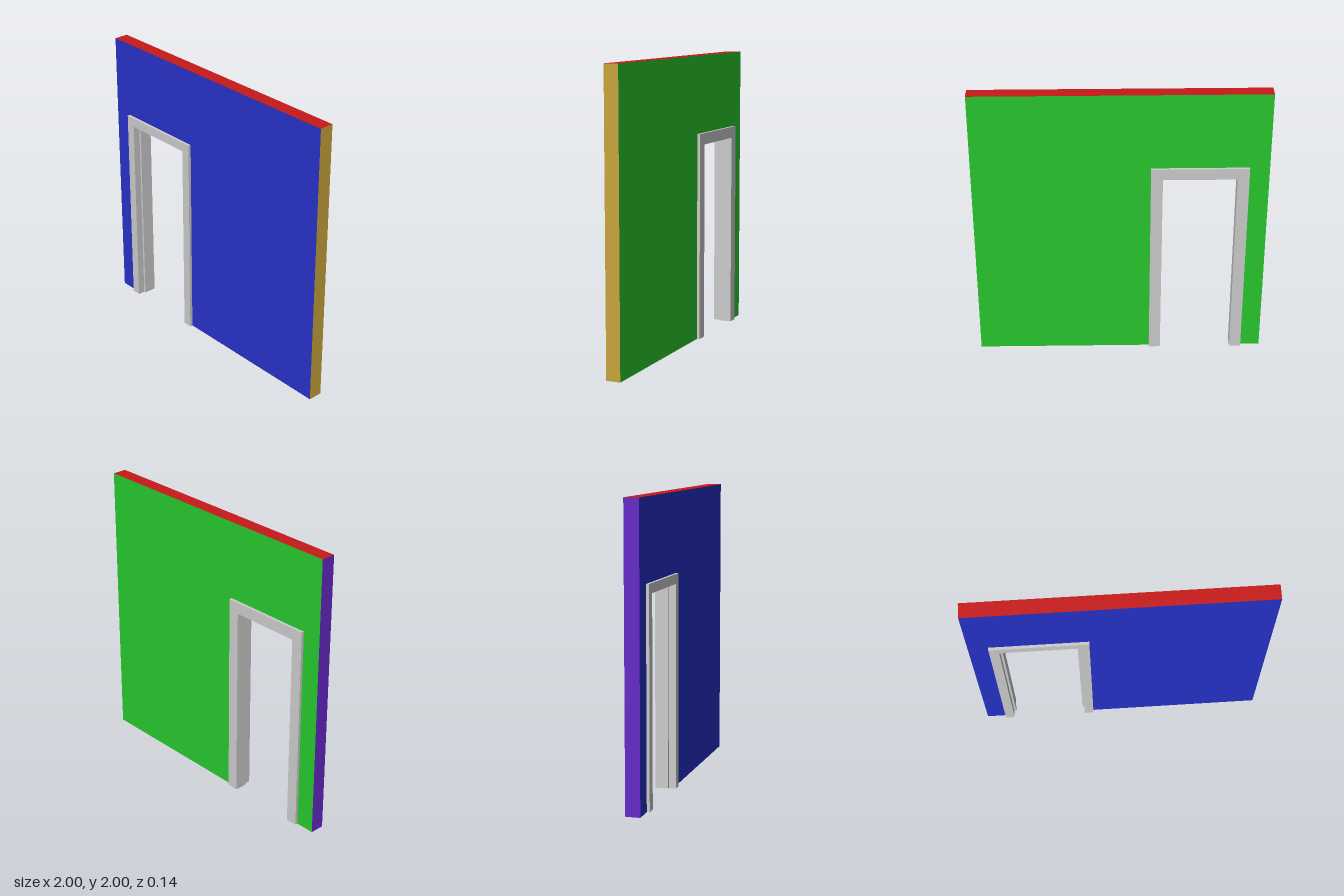
import * as THREE from 'three';

const LEFT = -0.785, RIGHT = -0.285, TOP = 1.38; // clear doorway
const HALF = 0.05; // half the wall thickness

const paint = (color) => new THREE.MeshStandardMaterial({ color, side: THREE.DoubleSide, flatShading: true });

// Doorway outline grown outwards by d: up one jamb, across, down the other
const doorway = (d) => [[LEFT - d, 0], [LEFT - d, TOP + d], [RIGHT + d, TOP + d], [RIGHT + d, 0]];

function mesh(name, geometry, material) {
  const m = new THREE.Mesh(geometry, material);
  m.name = name;
  return m;
}

// Flat strip spanning the wall thickness between two outline points
function edge(name, [x0, y0], [x1, y1], material) {
  const g = new THREE.BufferGeometry();
  g.setAttribute('position', new THREE.Float32BufferAttribute(
    [x0, y0, HALF, x0, y0, -HALF, x1, y1, -HALF, x1, y1, HALF], 3));
  g.setIndex([0, 1, 2, 0, 2, 3]);
  const flat = g.toNonIndexed();
  flat.computeVertexNormals();
  return mesh(name, flat, material);
}

// Sweeps an open profile of [outward offset, z] points round the doorway
function trim(profile) {
  const pos = [];
  for (let i = 0; i < profile.length - 1; i++) {
    const [dA, zA] = profile[i], [dB, zB] = profile[i + 1];
    const a = doorway(dA), b = doorway(dB);
    for (let j = 0; j < 3; j++) {
      const p = [...a[j], zA], q = [...b[j], zB], r = [...b[j + 1], zB], s = [...a[j + 1], zA];
      pos.push(...p, ...q, ...r, ...p, ...r, ...s);
    }
  }
  const g = new THREE.BufferGeometry();
  g.setAttribute('position', new THREE.Float32BufferAttribute(pos, 3));
  g.computeVertexNormals();
  return g;
}

export function createModel() {
  const group = new THREE.Group();
  const blue = paint(0x2731c8), green = paint(0x28c82d), red = paint(0xc81919);
  const ochre = paint(0xc8a43c), purple = paint(0x6428c8), grey = paint(0xcccccc);

  // Wall outline with the rough opening hidden inside the frame
  const hole = doorway(0.04);
  const outline = [[-1, 0], ...hole, [1, 0], [1, 2], [-1, 2]];
  const shape = new THREE.Shape(outline.map(([x, y]) => new THREE.Vector2(x, y)));

  const wall = new THREE.Group();
  wall.name = 'wall';
  const front = mesh('wallFront', new THREE.ShapeGeometry(shape), blue);
  front.material.side = THREE.FrontSide;
  front.position.z = HALF;

  const mirrored = new THREE.Shape(outline.map(([x, y]) => new THREE.Vector2(-x, y)));
  const back = mesh('wallBack', new THREE.ShapeGeometry(mirrored), green);
  back.material.side = THREE.FrontSide;
  back.rotation.y = Math.PI;
  back.position.z = -HALF;
  wall.add(front, back);

  // Wall edges and opening reveals, coloured by the way they face
  const names = ['wallBottomRight', 'revealRight', 'revealTop', 'revealLeft',
    'wallBottomLeft', 'wallEndLeft', 'wallTop', 'wallEndRight'];
  const paints = [red, ochre, red, purple, red, ochre, red, purple];
  outline.forEach((p, i) => {
    wall.add(edge(names[i], p, outline[(i + 1) % outline.length], paints[i]));
  });
  group.add(wall);

  // Rebated door frame wrapping both faces of the wall, open at the floor
  const profile = [[0.08, 0.05], [0.08, 0.07], [0.015, 0.07], [0.015, 0.02],
    [0, 0.02], [0, -0.07], [0.08, -0.07], [0.08, -0.05]];
  group.add(mesh('doorFrame', trim(profile), grey));

  return group;
}
